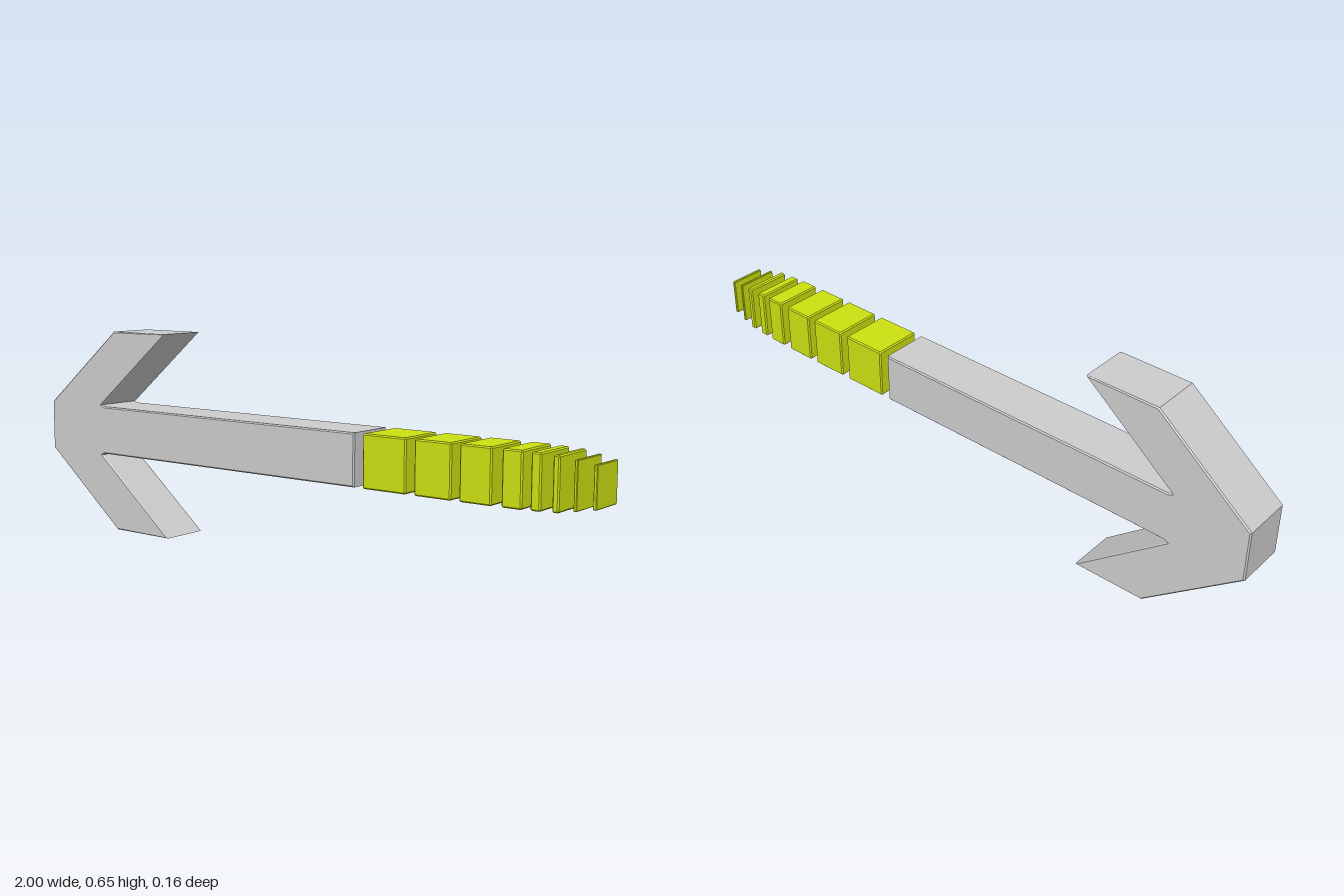
import * as THREE from 'three';
import { ConvexGeometry } from 'three/addons/geometries/ConvexGeometry.js';

const MID_Y = 0.326;
const HALF_DEPTH = 0.079;

// Box with every edge chamfered by b
function chamferBox(w, h, d, b) {
  const points = [];
  for (const sx of [-1, 1]) for (const sy of [-1, 1]) for (const sz of [-1, 1]) {
    const x = w / 2, y = h / 2, z = d / 2;
    points.push(
      new THREE.Vector3(sx * x, sy * (y - b), sz * (z - b)),
      new THREE.Vector3(sx * (x - b), sy * y, sz * (z - b)),
      new THREE.Vector3(sx * (x - b), sy * (y - b), sz * z));
  }
  return new ConvexGeometry(points);
}

export function createModel() {
  const model = new THREE.Group();
  model.name = 'arrow';
  const grey = new THREE.MeshStandardMaterial({ color: 0xcccccc, flatShading: true });
  const lime = new THREE.MeshStandardMaterial({ color: 0xcce011, flatShading: true });

  // Arrow head and shaft: lower half of the outline, mirrored for the upper half
  const lower = [[-1, -0.079], [-0.698, -0.325], [-0.468, -0.325], [-0.762, -0.083], [-0.75, -0.078], [0.266, -0.078]];
  const upper = lower.map(([x, y]) => [x, -y]).reverse();
  const outline = new THREE.Shape([...lower, ...upper].map(([x, y]) => new THREE.Vector2(x, y)));
  const bevel = 0.004;
  const arrowGeometry = new THREE.ExtrudeGeometry(outline, {
    depth: 2 * (HALF_DEPTH - bevel), bevelEnabled: true, bevelSegments: 1,
    bevelSize: bevel, bevelThickness: bevel, bevelOffset: -bevel,
  });
  arrowGeometry.translate(0, MID_Y, -(HALF_DEPTH - bevel));
  const arrow = new THREE.Mesh(arrowGeometry, grey);
  arrow.name = 'arrowHeadAndShaft';
  model.add(arrow);

  // Tail of blocks that get thinner towards the end: [start x, end x, side]
  const blocks = [
    [0.295, 0.44, 0.157], [0.468, 0.586, 0.157], [0.612, 0.71, 0.157], [0.74, 0.8, 0.156],
    [0.824, 0.853, 0.153], [0.885, 0.904, 0.149], [0.941, 0.95, 0.133], [0.99, 1, 0.116],
  ];
  const tail = new THREE.Group();
  tail.name = 'tail';
  blocks.forEach(([x0, x1, side], i) => {
    const width = x1 - x0;
    const block = new THREE.Mesh(chamferBox(width, side, side, Math.min(0.004, width * 0.2)), lime);
    block.name = `tailBlock${i + 1}`;
    block.position.set((x0 + x1) / 2, MID_Y, 0);
    tail.add(block);
  });
  model.add(tail);
  return model;
}
